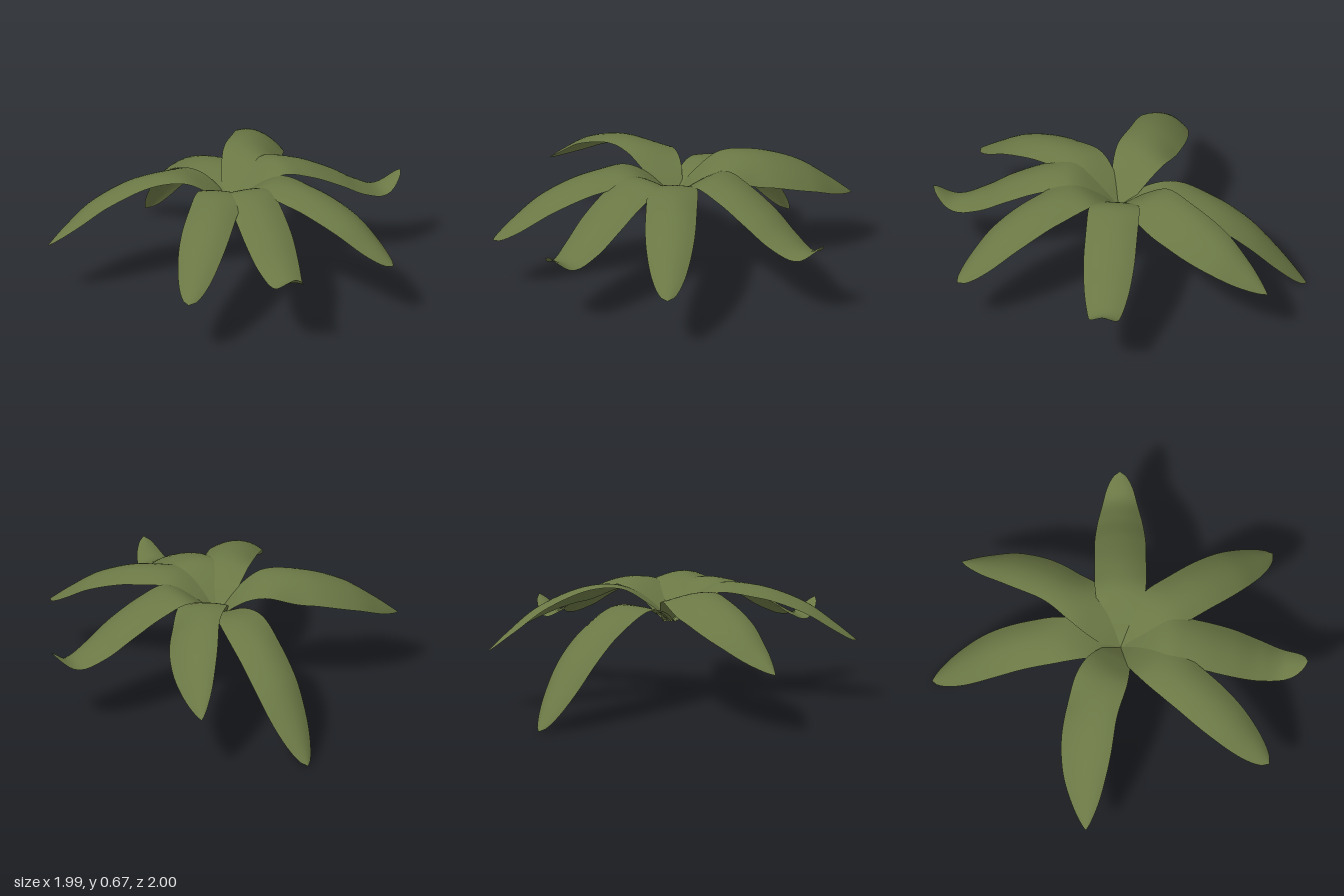
import * as THREE from 'three';

// Side profiles of a leaf: [distance from the centre, height]
const DROOPING = [[0, 0.47], [0.1, 0.57], [0.25, 0.66], [0.47, 0.65], [0.72, 0.555], [0.88, 0.44], [1, 0.34]];
const CURLED = [[0, 0.47], [0.1, 0.57], [0.25, 0.665], [0.4, 0.645], [0.6, 0.55], [0.75, 0.455], [0.88, 0.405], [1, 0.475]];
const HANGING = [[0, 0.47], [0.12, 0.545], [0.3, 0.585], [0.5, 0.53], [0.7, 0.39], [0.86, 0.205], [1, 0.01]];

// Narrow base, full middle, tip that tapers from round to pointed
function widthAt(t, taper) {
  const base = 0.3 + 0.7 * Math.sin(Math.min(t / 0.34, 1) * Math.PI / 2);
  const tip = Math.max(0, (t - 0.53) / 0.47);
  return base * Math.max(0, 1 - tip * tip) ** taper;
}

// Thin arched blade swept from the centre to its tip; bow bends it sideways, roll lowers one edge
function leafGeometry({ profile, tipX, tipZ, width, bow = 0, roll = 0, arch = 0.34, taper = 0.62 }) {
  const length = Math.hypot(tipX, tipZ);
  const curve = new THREE.CatmullRomCurve3(profile.map(([r, y]) => {
    const offset = bow * Math.sin(Math.PI * r) / length;
    return new THREE.Vector3(tipX * r + tipZ * offset, y, tipZ * r - tipX * offset);
  }));
  const rows = 48, cols = 10, position = [], index = [];
  for (let i = 0; i <= rows; i++) {
    const t = i / rows;
    const p = curve.getPointAt(t), d = curve.getTangentAt(t);
    const side = new THREE.Vector3(d.z, 0, -d.x).normalize();
    const up = new THREE.Vector3().crossVectors(d, side);
    const ramp = THREE.MathUtils.smoothstep(t, 0.12, 0.45);
    const w = width * widthAt(t, taper), a = roll * ramp;
    for (let j = 0; j <= cols; j++) {
      const s = (j / cols) * 2 - 1;
      const v = p.clone()
        .addScaledVector(side, s * w * Math.cos(a))
        .addScaledVector(up, s * w * Math.sin(a) - arch * ramp * w * s * s);
      position.push(v.x, v.y, v.z);
      if (i < rows && j < cols) {
        const q = i * (cols + 1) + j, r = q + cols + 1;
        index.push(q, r, q + 1, r, r + 1, q + 1);
      }
    }
  }
  const g = new THREE.BufferGeometry();
  g.setAttribute('position', new THREE.Float32BufferAttribute(position, 3));
  g.setIndex(index);
  g.computeVertexNormals();
  return g;
}

const LEAVES = [
  { name: 'backLeaf', profile: HANGING, tipX: -0.09, tipZ: -1, width: 0.133, bow: -0.02 },
  { name: 'backRightLeaf', profile: DROOPING, tipX: 0.475, tipZ: -0.88, width: 0.142, bow: -0.08, roll: 0.4, taper: 0.85 },
  { name: 'rightLeaf', profile: CURLED, tipX: 0.99, tipZ: -0.07, width: 0.138, arch: 0.27 },
  { name: 'frontRightLeaf', profile: DROOPING, tipX: 0.63, tipZ: 0.77, width: 0.136, taper: 0.55 },
  { name: 'frontLeaf', profile: CURLED, tipX: -0.015, tipZ: 1, width: 0.136, arch: 0.27 },
  { name: 'frontLeftLeaf', profile: DROOPING, tipX: -0.56, tipZ: 0.83, width: 0.132, taper: 0.55 },
  { name: 'leftLeaf', profile: DROOPING, tipX: -1, tipZ: -0.12, width: 0.147, bow: -0.075, roll: 0.3, taper: 0.85 },
];

export function createModel() {
  const group = new THREE.Group();
  group.name = 'leafRosette';
  const leafGreen = new THREE.MeshStandardMaterial({ color: 0x6b7845, side: THREE.DoubleSide });
  leafGreen.name = 'leafGreen';
  for (const leaf of LEAVES) {
    const mesh = new THREE.Mesh(leafGeometry(leaf), leafGreen);
    mesh.name = leaf.name;
    group.add(mesh);
  }
  return group;
}
